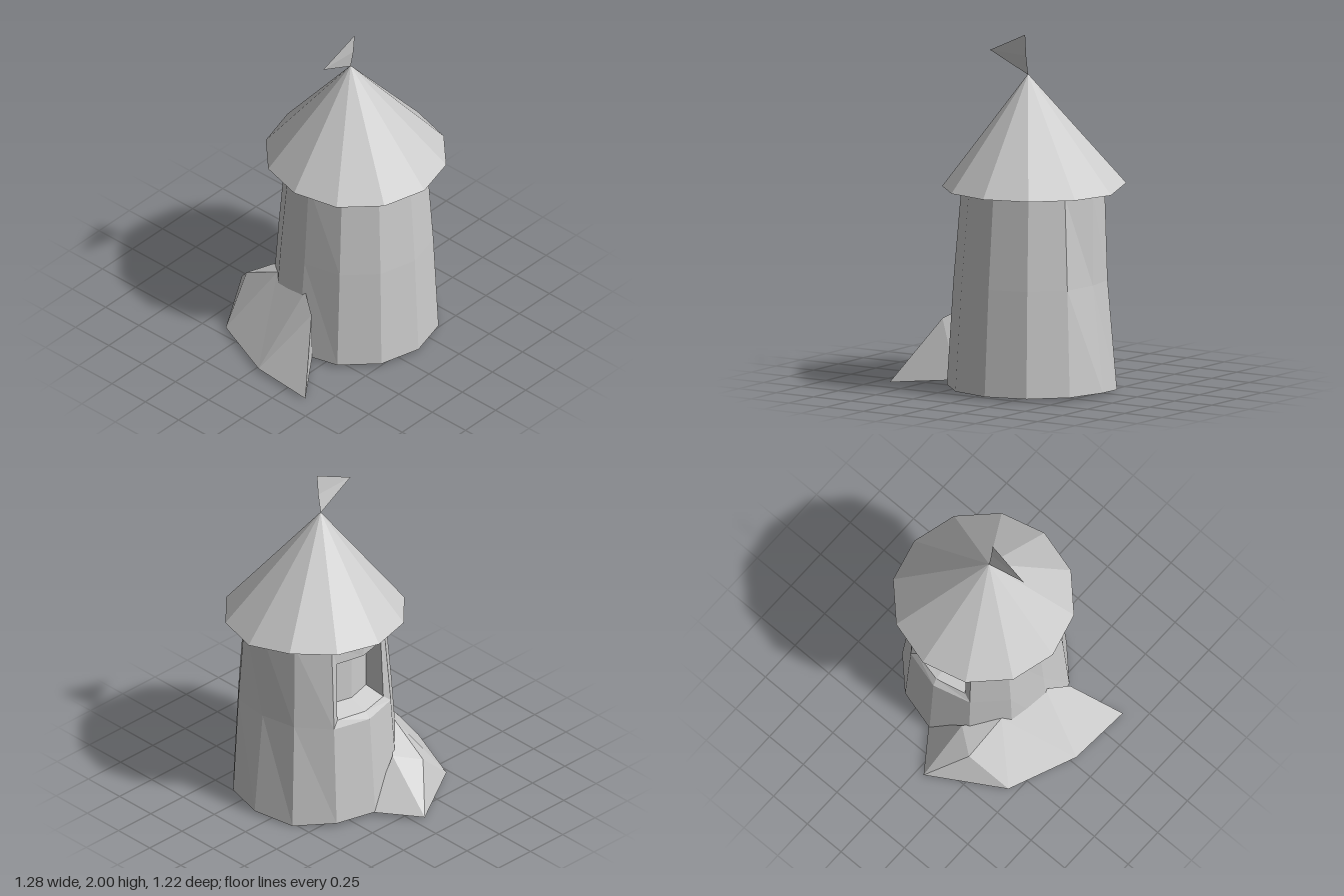
import * as THREE from 'three';

const SIDES = 12;
const steps = [...Array(SIDES).keys()];

// Point on a circle; step k turns 30 degrees from +x towards +z
function polar(cx, cz, r, k, y) {
  const a = (k / SIDES) * Math.PI * 2;
  return new THREE.Vector3(cx + r * Math.cos(a), y, cz + r * Math.sin(a));
}

function fromTriangles(name, triangles) {
  const geometry = new THREE.BufferGeometry().setFromPoints(triangles.flat());
  geometry.computeVertexNormals();
  const material = new THREE.MeshStandardMaterial({
    color: 0xcccccc, flatShading: true, side: THREE.DoubleSide,
  });
  const mesh = new THREE.Mesh(geometry, material);
  mesh.name = name;
  return mesh;
}

// Join successive rings of points with outward faces; skip(row, k) leaves gaps
function loft(rings, closed = true, skip = () => false) {
  const out = [];
  for (let row = 0; row + 1 < rings.length; row++) {
    const lo = rings[row], hi = rings[row + 1], n = lo.length;
    for (let k = 0; k < (closed ? n : n - 1); k++) {
      if (skip(row, k)) continue;
      const j = (k + 1) % n;
      for (const t of [[lo[k], hi[k], hi[j]], [lo[k], hi[j], lo[j]]]) {
        if (new THREE.Triangle(...t).getArea() > 1e-7) out.push(t);
      }
    }
  }
  return out;
}

export function createModel() {
  const group = new THREE.Group();
  group.name = 'tower';

  // Tapered wall, slightly pinched on the +x side, with its floor
  const midRadius = k => (k === 0 ? 0.405 : k === 11 ? 0.42 : k === 6 ? 0.43 : 0.44);
  const floorCentre = steps.map(() => new THREE.Vector3(0.11, 0.02, 0.1));
  const base = steps.map(k => polar(0.11, 0.097, 0.475, k, k === 11 ? 0 : 0.02));
  const middle = steps.map(k => polar(0.115, 0.1, midRadius(k), k, 0.62));
  const top = steps.map(k => polar(0.12, 0.1, 0.4, k, 1.14));
  const isWindow = (row, k) => row === 2 && (k === 8 || k === 9);
  group.add(fromTriangles('wall', loft([floorCentre, base, middle, top], true, isWindow)));

  // Window niche sunk into the two rear facets
  const loop = (spread, rLow, rHigh, yLow, yHigh) => [
    ...[-1, 0, 1].map(s => polar(0.12, 0.1, rLow, 9 + s * spread, yLow)),
    ...[1, 0, -1].map(s => polar(0.12, 0.1, rHigh, 9 + s * spread, yHigh)),
  ];
  const panel = [middle[8], middle[9], middle[10], top[10], top[9], top[8]];
  const opening = loop(0.86, 0.41, 0.395, 0.66, 1.02);
  const recess = loop(1, 0.3, 0.3, 0.7, 0.98);
  const back = [recess.slice(0, 3), recess.slice(3).reverse()];
  group.add(fromTriangles('windowNiche',
    [...loft([panel, opening, recess]), ...loft(back, false)]));

  // Conical roof with an uneven eave and a tip off the middle
  const eaveY = { 6: 1.15, 7: 1.15, 8: 1.15, 9: 1.155, 10: 1.165, 11: 1.17 };
  const soffit = steps.map(k => polar(0.12, 0.1, 0.38, k, k >= 9 ? 1.12 : 1.135));
  const eave = steps.map(k => polar(0.122, 0.092, 0.514, k, eaveY[k] ?? 1.14));
  const tip = steps.map(() => new THREE.Vector3(0.08, 1.775, 0.09));
  group.add(fromTriangles('roof', loft([soffit, eave, tip])));

  // Pennant, bowed a little between its foot and its top
  const v = (x, y, z) => new THREE.Vector3(x, y, z);
  const foot = v(0.08, 1.77, 0.09), bow = v(0.08, 1.88, 0.11);
  const peak = v(0.08, 2, 0.12), end = v(-0.165, 1.89, 0.105);
  group.add(fromTriangles('flag', [[foot, bow, end], [bow, peak, end]]));

  // Rocky bank leaning against the wall: ground outline, crest, wall contacts
  const g1 = v(-0.05, 0.02, -0.61), g2 = v(-0.46, 0.02, -0.36);
  const g3 = v(-0.62, 0.02, 0.03), g4 = v(-0.64, 0.01, 0.4);
  const c1 = v(-0.4, 0.37, 0.23), c2 = v(-0.32, 0.43, 0.11);
  const c3 = v(-0.24, 0.38, -0.17), c4 = v(-0.22, 0.24, -0.42);
  const w1 = v(-0.08, 0.28, -0.32), w2 = v(0.13, 0.02, -0.36), w3 = v(-0.34, 0.02, 0.18);
  group.add(fromTriangles('bank', [
    [g1, g2, c4], [g2, c3, c4], [g2, g3, c3], [g3, c2, c3], [g3, c1, c2], [g3, g4, c1],
    [g4, w3, c1], [w3, c2, c1], [g1, c4, w1], [g1, w1, w2], [c4, c3, w1],
  ]));

  return group;
}
